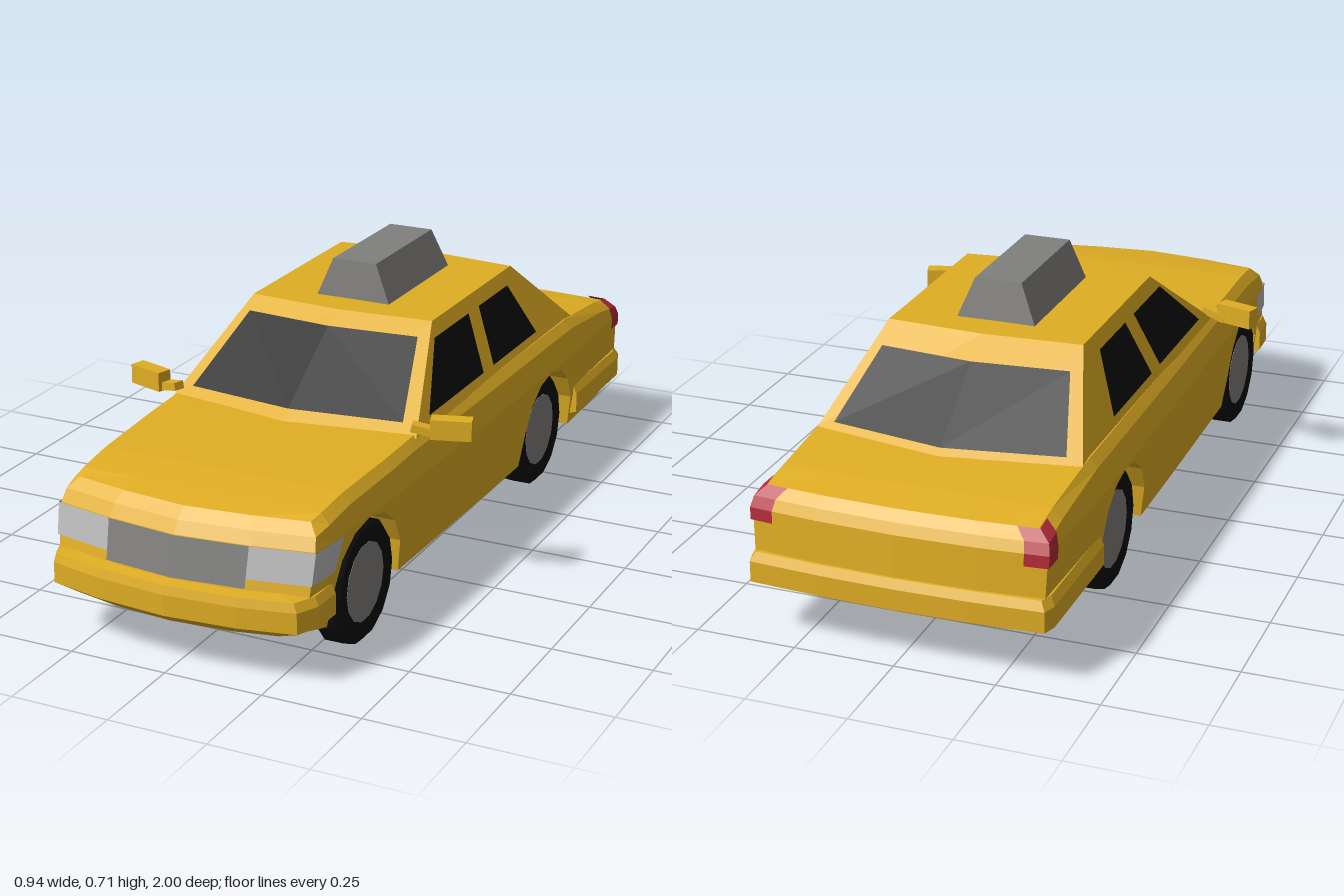
import * as THREE from 'three';

const D = THREE.DoubleSide;
const mat = (name, color) => {
  const m = new THREE.MeshStandardMaterial({ color, side: D });
  m.name = name;
  return m;
};

// Linear interpolation through [t, value] keys
function key(keys, t) {
  if (t <= keys[0][0]) return keys[0][1];
  for (let i = 1; i < keys.length; i++) {
    const [a, va] = keys[i - 1], [b, vb] = keys[i];
    if (t <= b) return va + ((vb - va) * (t - a)) / (b - a);
  }
  return keys[keys.length - 1][1];
}
const mix = (a, b, t) => a.map((v, i) => v + (b[i] - v) * t);

// Faceted surface through rows of points
function grid(...sheets) {
  const pos = [];
  for (const rows of sheets) {
    for (let i = 0; i + 1 < rows.length; i++) {
      for (let j = 0; j + 1 < rows[i].length; j++) {
        const a = rows[i][j], b = rows[i][j + 1], c = rows[i + 1][j + 1], d = rows[i + 1][j];
        pos.push(...a, ...b, ...c, ...a, ...c, ...d);
      }
    }
  }
  const g = new THREE.BufferGeometry();
  g.setAttribute('position', new THREE.Float32BufferAttribute(pos, 3));
  g.computeVertexNormals();
  return g;
}
function flat(g) {
  const n = g.toNonIndexed();
  n.computeVertexNormals();
  return n;
}
const mirrorRow = half => [...half, ...half.slice(0, -1).reverse().map(([x, y, z]) => [-x, y, z])];

// Body shape rules
const planWidth = z => key([[-0.98, 0.36], [-0.6, 0.37], [0, 0.365], [0.5, 0.357], [0.82, 0.342], [0.95, 0.326]], z);
const sideWidth = (y, z) => planWidth(z) * key([[0.11, 0.95], [0.2, 0.985], [0.325, 1], [0.39, 0.96]], y);
const deckY = z => key([[-0.95, 0.375], [-0.7, 0.415], [0.38, 0.415], [0.73, 0.402], [0.9, 0.38]], z);
const noseZ = (x, y) => key([[0.11, 0.93], [0.2, 0.965], [0.325, 0.94], [0.36, 0.92], [0.385, 0.89]], y)
  - 0.045 * Math.pow(Math.abs(x) / 0.31, 1.5);
const tailZ = (x, y) => key([[0.11, -0.95], [0.2, -0.985], [0.325, -0.978], [0.35, -0.965], [0.375, -0.945]], y)
  + 0.02 * (x / 0.36) ** 2;

const AXLES = [-0.44, 0.645], AXLE_Y = 0.153;

// Half cross-section from bottom centre to top centre; endZ bends it into a bowed end
function section(z, yb = 0.11, endZ = null) {
  const floor = endZ ? yb : 0.11, yd = deckY(z), ys = yd - 0.025, xd = planWidth(z) * 0.91;
  const sy = Math.max(yb, 0.2);
  return [
    [0, floor], [0.24, floor], [0.24, yb], [sideWidth(yb, z), yb], [sideWidth(sy, z), sy],
    [planWidth(z), 0.325], [sideWidth(ys, z), ys], [xd, yd], [xd * 0.55, yd], [0, yd],
  ].map(([x, y]) => [x, y, endZ ? endZ(x, y) : z]);
}
// End panel that closes the body
function endCap(sec, endZ, dir) {
  return sec.slice(3, 8).map(([x, y]) =>
    [-1, -0.55, 0, 0.55, 1].map(u => [u * x * dir, y, endZ(u * x, y)]));
}

function bumper(plan, pivot, M, name) {
  const rows = [[0.82, 0.122], [1, 0.148], [1, 0.2], [0.97, 0.222], [0.8, 0.226]].map(([s, y]) =>
    mirrorRow(plan.map(([x, z]) => [x * s, y, pivot + (z - pivot) * s])));
  const m = new THREE.Mesh(grid(rows), M);
  m.name = name;
  return m;
}

export function createModel() {
  const car = new THREE.Group();
  car.name = 'taxi';
  const paint = mat('yellow paint', 0xe0ae24), black = mat('black', 0x0c0c0c), grey = mat('grey', 0x807f7d);
  const lamp = mat('headlamp', 0xbcbcbc), red = mat('tail lamp red', 0xb42c38), white = mat('white', 0xf0f0f0);
  const add = (name, geo, m, parent = car) => {
    const mesh = new THREE.Mesh(geo, m);
    mesh.name = name;
    parent.add(mesh);
    return mesh;
  };

  // Lower body with wheel arches
  const front = section(0.9, 0.13, noseZ), rear = section(-0.95, 0.12, tailZ);
  const cols = [rear, section(-0.85)];
  for (const c of AXLES) {
    cols.push(section(c - 0.175));
    for (let a = 165; a >= 15; a -= 25) {
      const r = a * Math.PI / 180;
      cols.push(section(c + 0.168 * Math.cos(r), AXLE_Y + 0.168 * Math.sin(r)));
    }
    cols.push(section(c + 0.175));
    if (c < 0) cols.push(section(0), section(0.38));
  }
  cols.push(front);
  add('body', grid(cols.map(mirrorRow), endCap(front, noseZ, 1), endCap(rear, tailZ, -1)), paint);

  // Cabin
  const base = [[0, 0.412, 0.41], [0.335, 0.41, 0.36], [0.335, 0.41, -0.66], [0, 0.41, -0.72]];
  const roof = [[0, 0.612, 0.11], [0.25, 0.61, 0.085], [0.25, 0.61, -0.42], [0, 0.612, -0.44]];
  const ridge = roof.map(([, , z]) => [0, 0.612, z]);
  add('cabin', grid([base, roof, ridge].map(mirrorRow)), paint);

  // Windscreen and rear window
  const pane = (name, mid, cor, lo, hi, dz) => {
    const rows = [lo, hi].map(v => {
      const m = mix(base[mid], roof[mid], v), c = mix(base[cor], roof[cor], v);
      const e = mix(m, c, 0.89);
      return [e, m, [-e[0], e[1], e[2]]].map(([x, y, z]) => [x, y + 0.004, z + dz]);
    });
    add(name, grid(rows), black);
  };
  pane('windscreen', 0, 1, 0.11, 0.84, 0.004);
  pane('rearWindow', 3, 2, 0.06, 0.76, -0.004);

  // Side windows, lamps and mirrors
  for (const s of [1, -1]) {
    const side = s > 0 ? 'left' : 'right';
    const win = (name, lo, hi) => add(side + name, grid([[lo, 0.435], [hi, 0.575]].map(([zs, y]) =>
      zs.map(z => [s * (0.335 - (y - 0.41) * 0.425 + 0.004), y + 0.002, z]))), black);
    win('FrontWindow', [0.27, -0.065], [0.11, -0.1]);
    win('RearWindow', [-0.13, -0.42], [-0.165, -0.355]);

    const head = [[0.25, 0.815], [0.325, 0.775]].map(([y, zEnd]) => {
      const x = sideWidth(y, 0.9), z = noseZ(x, y), k = 0.004;
      return [[x * 0.55, y, noseZ(x * 0.55, y) + k], [x + k, y, z + k],
        [sideWidth(y, 0.82) + k, y, 0.82], [sideWidth(y, zEnd) + k, y, zEnd]].map(p => [s * p[0], p[1], p[2]]);
    });
    add(side + 'Headlamp', grid(head), lamp);

    const inner = section(-0.85);
    const lowT = (0.295 - 0.2) / 0.125;
    const pairs = [[mix(rear[4], rear[5], lowT), mix(inner[4], inner[5], lowT)],
      ...[5, 6, 7].map(k => [rear[k], inner[k]])];
    const tail = pairs.map(([c, n]) => [mix(c, n, 0.5), c, [c[0] * 0.84, c[1], tailZ(c[0] * 0.84, c[1])]]
      .map(([x, y, z]) => [s * (x + 0.005), y + 0.003, z - 0.005]));
    add(side + 'TailLamp', grid(tail), red);

    const mirror = new THREE.Group();
    mirror.name = side + 'Mirror';
    car.add(mirror);
    const shell = add('mirrorShell', new THREE.BoxGeometry(0.1, 0.05, 0.04), paint, mirror);
    shell.position.set(s * 0.415, 0.44, 0.332);
    shell.rotation.y = s * 0.3;
    const stem = add('mirrorStem', new THREE.BoxGeometry(0.07, 0.02, 0.03), paint, mirror);
    stem.position.set(s * 0.353, 0.43, 0.345);
    stem.rotation.set(0, s * 0.3, s * -0.2);
  }

  // Grille
  add('grille', grid([0.228, 0.325].map(y => {
    const x = sideWidth(y, 0.9) * 0.55;
    return [-x, 0, x].map(u => [u, y, noseZ(u, y) + 0.004]);
  })), grey);

  // Bumpers
  car.add(bumper([[0.3, 0.82], [0.348, 0.82], [0.345, 0.9], [0.318, 0.955], [0.18, 0.985], [0, 1]], 0.82, paint, 'frontBumper'));
  car.add(bumper([[0.3, -0.62], [0.375, -0.62], [0.373, -0.95], [0.362, -0.985], [0.18, -0.996], [0, -1]], -0.62, paint, 'rearBumper'));

  // Roof sign
  const signRows = [[0.102, 0.02, -0.35, 0.608], [0.06, 0.01, -0.33, 0.71], [0, 0.01, -0.33, 0.71]].map(([x, f, b, y]) =>
    [[x, y, f], [x, y, b], [-x, y, b], [-x, y, f], [x, y, f]]);
  add('roofSign', grid(signRows), grey);

  // Road wheels
  const tyreProfile = [[0.095, -0.034], [0.14, -0.038], [0.153, -0.024], [0.153, 0.024], [0.14, 0.038], [0.095, 0.034]]
    .map(p => new THREE.Vector2(...p));
  const tyreGeo = flat(new THREE.LatheGeometry(tyreProfile, 14).rotateZ(-Math.PI / 2));
  const hubGeo = flat(new THREE.CylinderGeometry(0.098, 0.098, 0.07, 14).rotateZ(-Math.PI / 2));
  for (const z of AXLES) for (const s of [1, -1]) {
    const wheel = new THREE.Group();
    wheel.name = (z > 0 ? 'front' : 'rear') + (s > 0 ? 'Left' : 'Right') + 'Wheel';
    wheel.position.set(s * 0.303, AXLE_Y, z);
    add('tyre', tyreGeo, black, wheel);
    add('hub', hubGeo, grey, wheel);
    car.add(wheel);
  }

  // Thin spoked wheels on the centre line
  for (const z of [0.36, -0.05]) {
    const wheel = new THREE.Group();
    wheel.name = 'spokedWheel';
    wheel.position.set(0, 0.163, z);
    add('thinTyre', new THREE.TorusGeometry(0.119, 0.007, 6, 28).rotateY(Math.PI / 2), black, wheel);
    add('rim', new THREE.TorusGeometry(0.109, 0.005, 6, 28).rotateY(Math.PI / 2), white, wheel);
    for (let i = 0; i < 12; i++) {
      const spoke = add('spoke', new THREE.CylinderGeometry(0.0012, 0.0012, 0.216, 4), grey, wheel);
      spoke.rotation.x = (i * Math.PI) / 12;
    }
    car.add(wheel);
  }
  return car;
}
